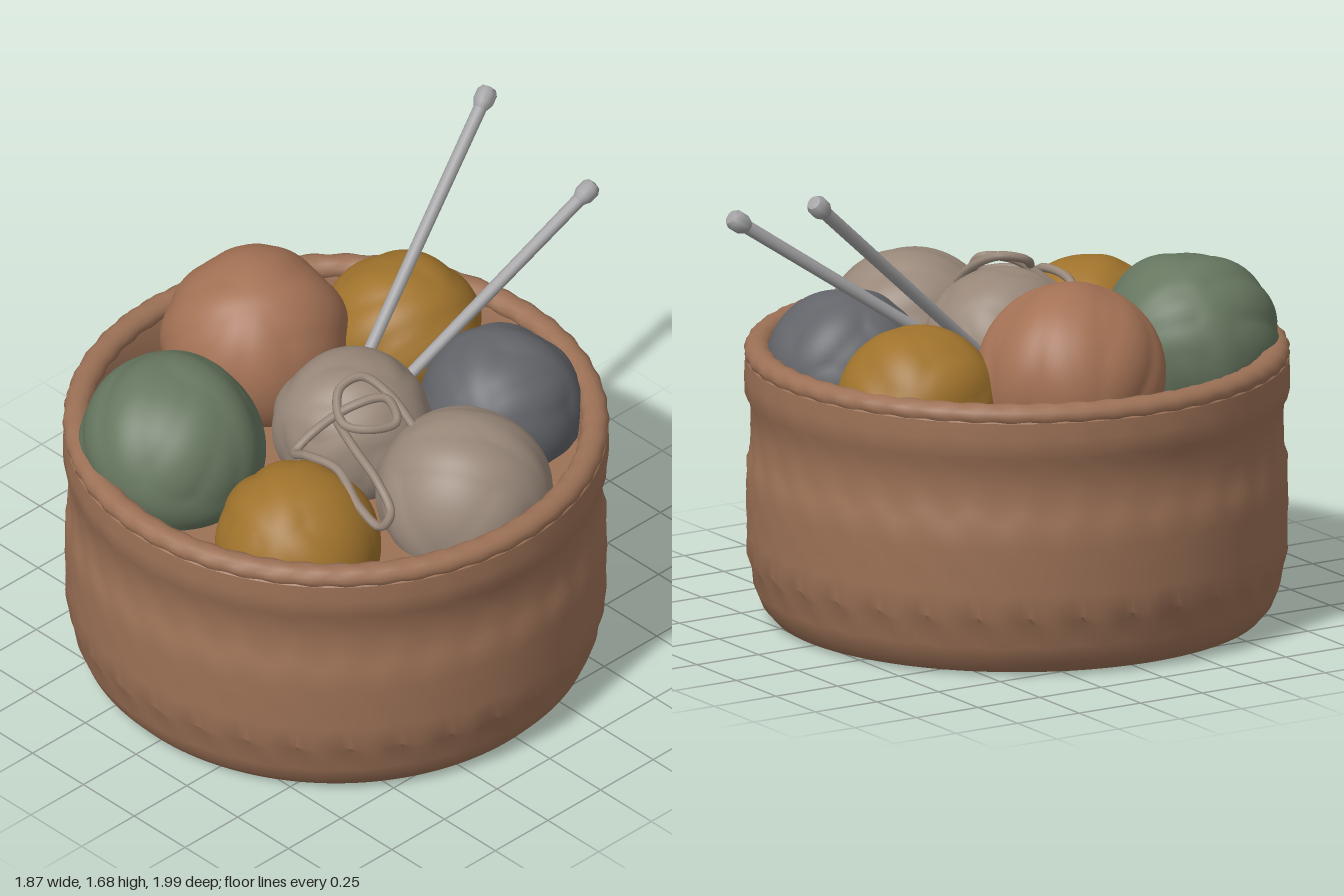
import * as THREE from 'three';
import { toCreasedNormals } from 'three/addons/utils/BufferGeometryUtils.js';

const paint = (name, color) => {
  const m = new THREE.MeshStandardMaterial({ color });
  m.name = name;
  return m;
};

// Small seeded generator in 0..1
const seeded = (s) => () => {
  s = (s * 16807) % 2147483647;
  return s / 2147483647;
};

// Move every vertex by a rule, then rebuild normals with a crease angle
function reshape(geometry, rule, crease) {
  const p = geometry.attributes.position;
  const v = new THREE.Vector3();
  for (let i = 0; i < p.count; i++) {
    v.fromBufferAttribute(p, i);
    rule(v);
    p.setXYZ(i, v.x, v.y, v.z);
  }
  return toCreasedNormals(geometry, crease);
}

export function createModel() {
  const wicker = paint('wicker brown', 0x9c7156);
  const terracotta = paint('terracotta yarn', 0xa47255);
  const green = paint('sage yarn', 0x66765f);
  const mustard = paint('mustard yarn', 0xa0732c);
  const slate = paint('slate yarn', 0x626469);
  const beige = paint('beige yarn', 0x988779);
  const steel = paint('needle grey', 0xa3a3a5);

  const model = new THREE.Group();
  model.name = 'yarnBasket';
  const add = (name, geometry, material, parent = model) => {
    const mesh = new THREE.Mesh(geometry, material);
    mesh.name = name;
    parent.add(mesh);
    return mesh;
  };

  // Basket: turned wall with wavy woven bands and an inner floor under the yarn
  const basket = new THREE.Group();
  basket.name = 'basket';
  basket.position.z = 0.05;
  model.add(basket);
  const profile = [
    [0, 0], [0.8, 0], [0.84, 0.01], [0.875, 0.05], [0.9, 0.11], [0.91, 0.19],
    [0.923, 0.215], [0.923, 0.3], [0.925, 0.38], [0.925, 0.46], [0.923, 0.55],
    [0.911, 0.58], [0.911, 0.66], [0.911, 0.75], [0.93, 0.785], [0.933, 0.85],
    [0.93, 0.91], [0.9, 0.94], [0.86, 0.94], [0.84, 0.9], [0.83, 0.78], [0, 0.78],
  ].map(([r, y]) => new THREE.Vector2(r, y));
  const wall = reshape(new THREE.LatheGeometry(profile, 192), (v) => {
    const r = Math.hypot(v.x, v.z);
    if (r < 0.865 || v.y < 0.1 || v.y > 0.8) return;
    const a = Math.atan2(v.x, v.z);
    const row = Math.round(v.y * 12) % 2 ? 1 : -1;
    const k = 1 + (0.003 * row * Math.sin(32 * a)) / r;
    v.x *= k;
    v.z *= k;
    v.y += 0.006 * Math.sin(32 * a);
  }, 0.7);
  add('basketWall', wall, wicker, basket);

  // Twisted rope rim, flattened and swept round the top edge
  const rope = reshape(new THREE.TorusGeometry(0.886, 0.046, 14, 240).rotateX(Math.PI / 2), (v) => {
    const r = Math.hypot(v.x, v.z);
    const a = Math.atan2(v.x, v.z);
    const turn = Math.atan2(v.y, r - 0.886);
    const k = 1 + 0.07 * Math.sin(48 * a + 3 * turn);
    const r2 = 0.886 + (r - 0.886) * k;
    v.set((v.x * r2) / r, 0.93 + v.y * k * 0.85, (v.z * r2) / r);
  }, 1);
  add('rimRope', rope, wicker, basket);

  // Yarn balls: spheres wrapped with a few broad raised bands
  const makeBall = (radius, seed) => {
    const rand = seeded(seed);
    const bands = [];
    for (let i = 0; i < 6; i++) {
      const axis = new THREE.Vector3(rand() - 0.5, rand() - 0.5, rand() - 0.5).normalize();
      bands.push({ axis, offset: rand() * 0.7 - 0.35, lift: 0.025 + rand() * 0.025 });
    }
    return reshape(new THREE.IcosahedronGeometry(1, 16), (v) => {
      let bump = 0;
      for (const { axis, offset, lift } of bands) {
        const d = Math.abs(v.dot(axis) - offset) / 0.3;
        if (d < 1) bump = Math.max(bump, lift * (1 - d * d));
      }
      v.multiplyScalar(radius * (0.975 + bump));
    }, 0.6);
  };
  const balls = [
    ['terracottaBall', -0.5, 0.96, -0.05, 0.32, terracotta],
    ['sageBall', -0.28, 0.94, 0.56, 0.318, green],
    ['frontMustardBall', 0.32, 0.83, 0.54, 0.285, mustard],
    ['backMustardBall', -0.27, 0.87, -0.52, 0.28, mustard],
    ['slateBall', 0.27, 0.87, -0.47, 0.28, slate],
    ['rightBeigeBall', 0.55, 0.87, -0.03, 0.3, beige],
    ['centreBeigeBall', 0.06, 0.93, 0.03, 0.27, beige],
  ];
  balls.forEach(([name, x, y, z, r, material], i) => {
    add(name, makeBall(r, 1234567 * (i + 3)), material).position.set(x, y, z);
  });

  // Loose strand looping over the centre and front balls
  const strand = new THREE.CatmullRomCurve3([
    [0.36, 1.09, 0.03], [0.26, 1.17, 0.04], [0.16, 1.22, 0.08], [0.14, 1.2, 0.17],
    [0.23, 1.14, 0.24], [0.31, 1.13, 0.19], [0.34, 1.13, 0.09], [0.28, 1.19, 0.08],
    [0.22, 1.18, 0.18], [0.14, 1.08, 0.3], [0.13, 1.03, 0.37], [0.22, 1.08, 0.4],
    [0.36, 1.09, 0.39], [0.5, 1.02, 0.42], [0.59, 0.98, 0.41], [0.57, 0.99, 0.34],
    [0.46, 1.05, 0.3], [0.34, 1.08, 0.27], [0.24, 1.1, 0.24], [0.15, 1.1, 0.2],
  ].map((p) => new THREE.Vector3(...p)));
  add('looseStrand', new THREE.TubeGeometry(strand, 160, 0.016, 8), beige);

  // Knitting needles: tapered shaft with a rounded end knob
  const makeNeedle = (name, tip, end) => {
    const group = new THREE.Group();
    group.name = name;
    const a = new THREE.Vector3(...tip);
    const dir = new THREE.Vector3(...end).sub(a);
    const length = dir.length();
    group.position.copy(a);
    group.quaternion.setFromUnitVectors(new THREE.Vector3(0, 1, 0), dir.normalize());
    const shaft = new THREE.CylinderGeometry(0.024, 0.021, length, 12).translate(0, length / 2, 0);
    add('needleShaft', shaft, steel, group);
    const knob = [[0, -0.045], [0.024, -0.045], [0.036, -0.02], [0.036, 0.015], [0.025, 0.032], [0, 0.037]]
      .map(([r, y]) => new THREE.Vector2(r, y + length));
    add('needleKnob', toCreasedNormals(new THREE.LatheGeometry(knob, 14), 0.8), steel, group);
    model.add(group);
  };
  makeNeedle('leftNeedle', [-0.11, 0.97, -0.17], [-0.295, 1.64, -0.945]);
  makeNeedle('rightNeedle', [0.04, 0.96, -0.2], [0.187, 1.485, -0.965]);

  return model;
}
